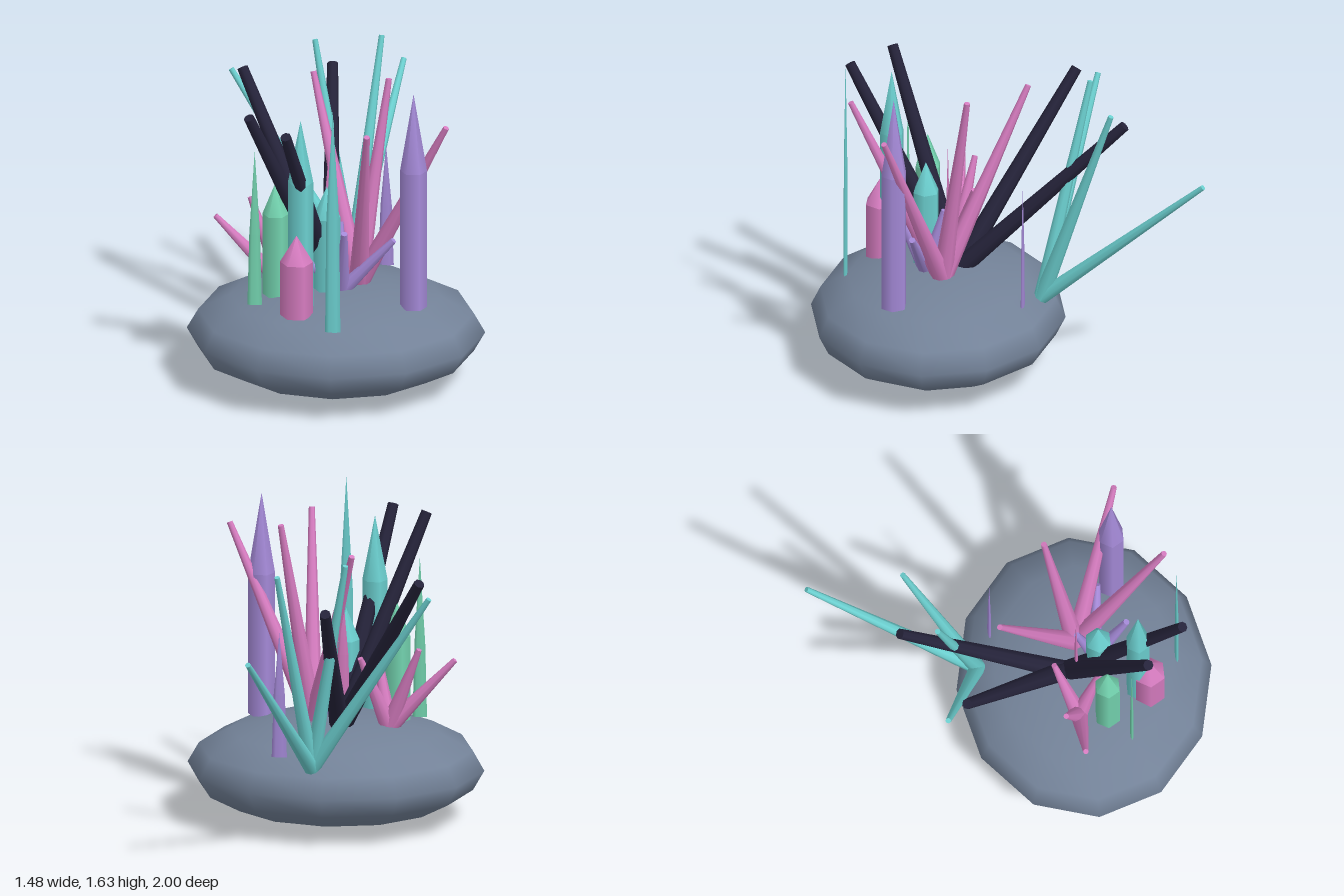
import * as THREE from 'three';

const mat = (name, color) => {
  const m = new THREE.MeshStandardMaterial({ color });
  m.name = name;
  return m;
};

export function createModel() {
  const model = new THREE.Group();
  model.name = 'crystalCluster';
  const stone = mat('stone grey', 0x738298);
  const teal = mat('teal', 0x6cd0d0);
  const pink = mat('pink', 0xd67cc0);
  const purple = mat('purple', 0xa58ad8);
  const green = mat('mint green', 0x74d4b0);
  const dark = mat('midnight', 0x25233a);

  const add = (parent, name, geometry, material) => {
    const mesh = new THREE.Mesh(geometry, material);
    mesh.name = name;
    parent.add(mesh);
    return mesh;
  };

  // Flattened boulder
  const rock = add(model, 'rockBase', new THREE.SphereGeometry(1, 12, 8), stone);
  rock.scale.set(0.74, 0.262, 0.635);
  rock.position.set(0, 0.264, 0.363);

  // Fan of tapered rods sharing one root
  const fan = (name, material, root, baseR, tipR, tips) => {
    const group = new THREE.Group();
    group.name = name;
    model.add(group);
    const a = new THREE.Vector3(...root);
    for (const tip of tips) {
      const dir = new THREE.Vector3(...tip).sub(a);
      const length = dir.length();
      const geo = new THREE.CylinderGeometry(tipR, baseR, length, 8);
      geo.translate(0, length / 2, 0);
      const rod = add(group, 'rod', geo, material);
      rod.position.copy(a);
      rod.quaternion.setFromUnitVectors(new THREE.Vector3(0, 1, 0), dir.normalize());
    }
  };
  fan('darkFan', dark, [-0.03, 0.48, 0.27], 0.05, 0.027, [
    [-0.42, 1.51, 0.64], [-0.49, 1.4, -0.27], [-0.23, 1.49, 0.83], [-0.055, 1.31, -0.56]]);
  fan('tealFan', teal, [0.06, 0.4, -0.16], 0.04, 0.014, [
    [-0.55, 1.35, -0.37], [-0.135, 1.51, -0.38], [0.19, 1.48, -0.52], [0.28, 1.16, -0.99]]);
  fan('tallPinkFan', pink, [0.11, 0.5, 0.33], 0.05, 0.015, [
    [0.555, 1.445, 0.57], [0.255, 1.545, 0.19], [0.17, 1.475, 0.78], [-0.13, 1.47, -0.07]]);
  fan('shortPinkFan', pink, [-0.27, 0.49, 0.31], 0.045, 0.014, [
    [-0.6, 0.845, 0.31], [-0.43, 0.915, 0.23], [-0.14, 0.87, 0.2], [-0.2, 0.85, 0.42]]);
  fan('purpleFan', purple, [0.03, 0.5, 0.42], 0.04, 0.016, [
    [0.29, 0.79, 0.46], [0.05, 0.87, 0.58], [-0.19, 0.71, 0.43], [0.02, 0.83, 0.33]]);

  // Upright crystals: six-sided shaft with a pointed cap; depth squashes z
  const crystal = (name, material, x, z, y0, shoulder, y1, r, topR = r, depth = 1) => {
    const group = new THREE.Group();
    group.name = name;
    group.position.set(x, 0, z);
    group.scale.z = depth;
    group.rotation.y = 0;
    model.add(group);
    const turn = Math.PI / 6;
    const shaft = new THREE.CylinderGeometry(topR, r, shoulder - y0, 6);
    add(group, 'shaft', shaft.rotateY(turn).translate(0, (shoulder + y0) / 2, 0), material);
    const cap = new THREE.ConeGeometry(topR, y1 - shoulder, 6, 1, true);
    add(group, 'point', cap.rotateY(turn).translate(0, (y1 + shoulder) / 2, 0), material);
  };
  crystal('tallPurpleCrystal', purple, 0.392, 0.54, 0.47, 1.2, 1.61, 0.067);
  crystal('tallTealCrystal', teal, -0.165, 0.615, 0.48, 1.16, 1.49, 0.063);
  crystal('shortTealCrystal', teal, -0.043, 0.43, 0.49, 0.9, 1.06, 0.067);
  crystal('greenCrystal', green, -0.295, 0.45, 0.49, 0.92, 1.09, 0.066);
  crystal('shortPinkCrystal', pink, -0.183, 0.67, 0.47, 0.755, 0.895, 0.082);

  // Flat blade-like crystals
  crystal('tealBlade', teal, 0.003, 0.825, 0.445, 1.05, 1.63, 0.038, 0.032, 0.25);
  crystal('greenBlade', green, -0.395, 0.56, 0.475, 0.85, 1.3, 0.036, 0.027, 0.25);
  crystal('purpleBlade', purple, 0.23, -0.085, 0.43, 0.75, 1.07, 0.038, 0.028, 0.25);
  crystal('pinkBlade', pink, -0.04, 0.32, 0.5, 0.85, 1.16, 0.036, 0.027, 0.25);

  return model;
}
